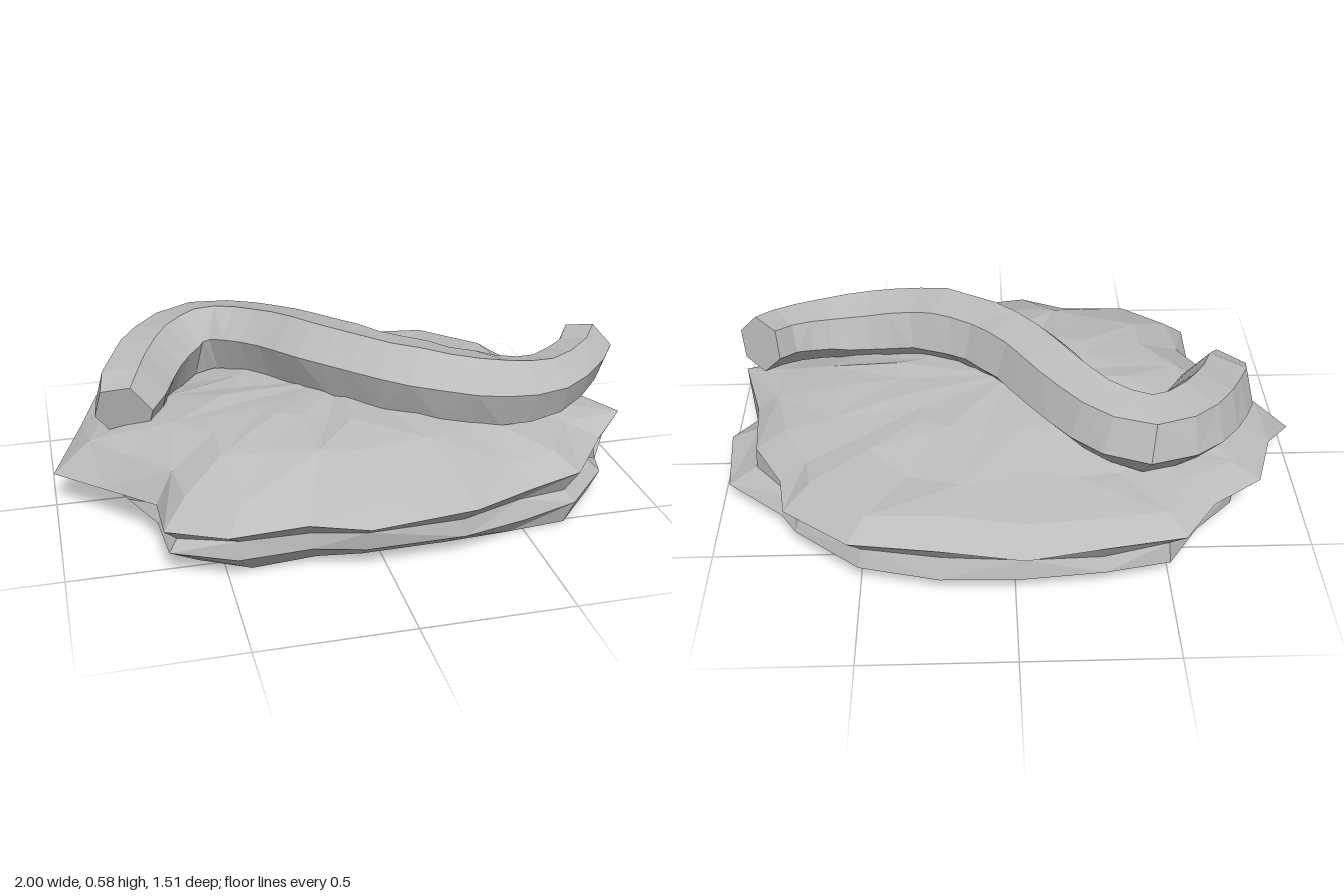
import * as THREE from 'three';

// Skin closed rings of points, with a fan closing each end.
function loft(rings, startCentre, endCentre) {
  const n = rings[0].length, pos = [], idx = [];
  rings.forEach(r => r.forEach(p => pos.push(p.x, p.y, p.z)));
  const s = rings.length * n, e = s + 1, last = (rings.length - 1) * n;
  pos.push(...startCentre.toArray(), ...endCentre.toArray());
  for (let i = 0; i < rings.length - 1; i++) {
    for (let j = 0; j < n; j++) {
      const k = (j + 1) % n;
      const a = i * n + j, b = i * n + k, c = b + n, d = a + n;
      if ((i + j) % 2) idx.push(a, d, b, d, c, b);
      else idx.push(a, d, c, a, c, b);
    }
  }
  for (let j = 0; j < n; j++) {
    const k = (j + 1) % n;
    idx.push(s, j, k, e, last + k, last + j);
  }
  const g = new THREE.BufferGeometry();
  g.setAttribute('position', new THREE.Float32BufferAttribute(pos, 3));
  g.setIndex(idx);
  const flat = g.toNonIndexed();
  flat.computeVertexNormals();
  return flat;
}

// Small repeatable random source, -1 to 1.
function seeded(seed) {
  return () => {
    seed = (seed * 16807) % 2147483647;
    return seed / 1073741823.5 - 1;
  };
}

// Jagged slab: a rough foot and ledge, a pointed rim, then rings closing to a low crown.
function rockGeometry() {
  const rnd = seeded(41);
  // Each row: rim x, y, z, then foot scale and ledge scale against the rim.
  const rows = [
    [-1, .12, 0, .7, .84], [-.89, .2, -.19, .76, .9], [-.82, .21, -.41, .78, .9],
    [-.65, .22, -.54, .8, .93], [-.54, .21, -.69, .8, .93], [-.3, .21, -.73, .81, .96],
    [-.03, .19, -.76, .79, .94], [.25, .21, -.73, .82, .97], [.53, .21, -.69, .84, .95],
    [.75, .19, -.5, .86, .96], [.77, .21, -.37, .93, 1.01], [.87, .21, -.19, .98, 1.12],
    [.89, .21, .04, 1, 1.12], [.95, .25, .24, .9, .93], [.84, .21, .34, .97, 1.01],
    [.68, .2, .55, .95, .99], [.5, .19, .6, .9, .97], [.28, .19, .69, .8, .93],
    [-.08, .2, .75, .75, .88], [-.26, .2, .68, .8, .92], [-.51, .19, .68, .82, .93],
    [-.69, .17, .56, .84, .98], [-.69, .15, .35, .86, 1], [-.85, .13, .16, .8, .9]
  ];
  const rim = rows.map(r => new THREE.Vector3(r[0], r[1], r[2]));
  // Below the rim: scaled copies of it at a rough height.
  const under = (scale, y, rough) => rim.map((p, i) => {
    const k = scale(rows[i]);
    return new THREE.Vector3(p.x * k, y + rnd() * rough, p.z * k);
  });
  // Above the rim: shrink toward the middle, smoothing the outline.
  const inner = (f, smooth, height, jitter) => rim.map(p => {
    const a = Math.atan2(p.z / .74, p.x / .93);
    const x = THREE.MathUtils.lerp(p.x, Math.cos(a) * .93, smooth);
    const z = THREE.MathUtils.lerp(p.z, Math.sin(a) * .72, smooth);
    const k = f + rnd() * jitter;
    return new THREE.Vector3(x * k, height(p, z * k), z * k);
  });
  const rings = [
    under(r => r[3], .004, .004),
    under(r => r[4], .075, .012),
    under(r => (1 + r[4]) * .475, .135, .012),
    rim,
    inner(.89, .2, (p, z) => THREE.MathUtils.lerp(p.y, .295, .65) + rnd() * .012, .025),
    inner(.68, .5, (p, z) => .308 + .05 * z + rnd() * .012, .04),
    inner(.4, .8, (p, z) => .348 + .04 * z + rnd() * .01, .04)
  ];
  return loft(rings, new THREE.Vector3(0, 0, 0), new THREE.Vector3(0, .37, 0));
}

// Faceted six-sided S-shaped body lying across the slab.
function coilGeometry() {
  const rnd = seeded(7);
  const curve = new THREE.CatmullRomCurve3([
    [-.75, .325, .01], [-.66, .37, -.2], [-.56, .395, -.34], [-.44, .41, -.405],
    [-.32, .425, -.36], [-.18, .445, -.21], [-.04, .46, -.01], [.1, .455, .13],
    [.27, .435, .235], [.47, .405, .28], [.65, .4, .27], [.79, .425, .19], [.865, .45, .095]
  ].map(p => new THREE.Vector3(...p)));
  const steps = 24, sides = 6, up = new THREE.Vector3(0, 1, 0), rings = [];
  for (let i = 0; i <= steps; i++) {
    const t = i / steps;
    const c = curve.getPointAt(t), dir = curve.getTangentAt(t);
    const side = dir.clone().cross(up).normalize();
    const rise = side.clone().cross(dir).normalize();
    const taper = THREE.MathUtils.smoothstep(t, .7, 1);
    const r = (i === 0 ? .11 : .132) - .036 * taper;
    rings.push(Array.from({ length: sides }, (_, j) => {
      const a = .21 + j / sides * Math.PI * 2, k = r * (1 + rnd() * .035);
      return c.clone().addScaledVector(side, Math.cos(a) * k)
        .addScaledVector(rise, Math.sin(a) * k);
    }));
  }
  return loft(rings, curve.getPointAt(0), curve.getPointAt(1));
}

export function createModel() {
  const model = new THREE.Group();
  const stone = new THREE.MeshStandardMaterial({ color: 0xbcbcbc });
  stone.name = 'stone grey';
  const add = (name, geometry) => {
    const mesh = new THREE.Mesh(geometry, stone);
    mesh.name = name;
    model.add(mesh);
  };
  add('rockSlab', rockGeometry());
  add('curvedBody', coilGeometry());
  return model;
}
